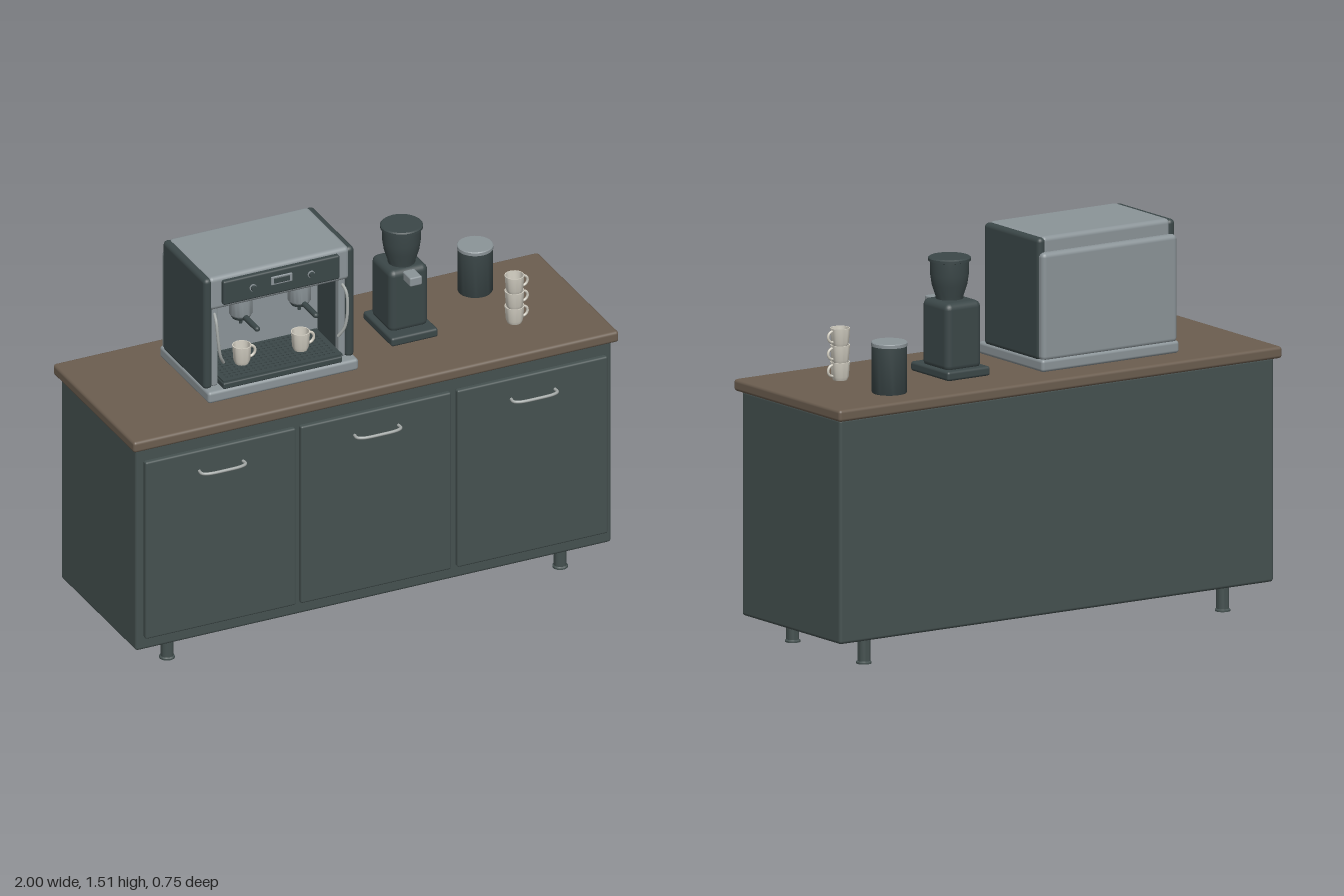
import * as THREE from 'three';
import { RoundedBoxGeometry } from 'three/addons/geometries/RoundedBoxGeometry.js';
import { toCreasedNormals } from 'three/addons/utils/BufferGeometryUtils.js';

const material = (name, color, side = THREE.FrontSide) => {
  const m = new THREE.MeshStandardMaterial({ color, side });
  m.name = name;
  return m;
};

export function createModel() {
  const cabinetPaint = material('cabinet dark green', 0x455150);
  const appliance = material('appliance charcoal', 0x3b4748);
  const wood = material('worktop wood', 0x6b5d4f);
  const steel = material('brushed steel', 0x8b9498);
  const chrome = material('handle chrome', 0xa3a8a6);
  const ceramic = material('cup ceramic', 0xd2cec2, THREE.DoubleSide);

  const model = new THREE.Group();
  model.name = 'coffeeStation';
  const group = (name, parent = model) => {
    const g = new THREE.Group();
    g.name = name;
    parent.add(g);
    return g;
  };
  const add = (parent, name, geometry, mat, x = 0, y = 0, z = 0) => {
    const m = new THREE.Mesh(geometry, mat);
    m.name = name;
    m.position.set(x, y, z);
    parent.add(m);
    return m;
  };
  // Rounded box given by its extents on each axis
  const box = (parent, name, mat, [x0, x1], [y0, y1], [z0, z1], r = 0.008) =>
    add(parent, name, new RoundedBoxGeometry(x1 - x0, y1 - y0, z1 - z0, 3, r), mat,
      (x0 + x1) / 2, (y0 + y1) / 2, (z0 + z1) / 2);
  const lathe = (parent, name, mat, profile, x, y, z, segments = 32) =>
    add(parent, name, toCreasedNormals(new THREE.LatheGeometry(
      profile.map(([r, h]) => new THREE.Vector2(r, h)), segments), 0.6), mat, x, y, z);
  const tube = (parent, name, mat, points, r, x = 0, y = 0, z = 0) =>
    add(parent, name, new THREE.TubeGeometry(new THREE.CatmullRomCurve3(
      points.map(p => new THREE.Vector3(...p))), 32, r, 8), mat, x, y, z);

  // Cabinet
  const cabinet = group('cabinet');
  box(cabinet, 'cabinetBody', cabinetPaint, [-0.98, 0.98], [0.105, 0.958], [-0.345, 0.295], 0.012);
  box(cabinet, 'worktop', wood, [-1, 1], [0.955, 1], [-0.372, 0.32], 0.012);
  for (const x of [-0.645, -0.005, 0.64]) {
    box(cabinet, 'door', cabinetPaint, [x - 0.31, x + 0.31], [0.165, 0.91], [0.303, 0.328], 0.008);
    box(cabinet, 'doorMount', cabinetPaint, [x - 0.28, x + 0.28], [0.2, 0.88], [0.29, 0.31], 0.004);
    tube(cabinet, 'doorHandle', chrome, [[-0.09, 0, 0], [-0.09, 0, 0.025], [-0.07, 0, 0.037],
      [0, 0, 0.041], [0.07, 0, 0.037], [0.09, 0, 0.025], [0.09, 0, 0]], 0.006, x, 0.825, 0.326);
  }
  for (const x of [-0.81, 0.81]) for (const z of [0.208, -0.255])
    lathe(cabinet, 'leg', cabinetPaint, [[0, 0], [0.029, 0], [0.029, 0.006], [0.024, 0.01],
      [0.024, 0.11], [0, 0.11]], x, 0, z, 24);

  // Cup with a side handle; h is its height
  const cup = (parent, x, y, z, h, r) => {
    const c = group('cup', parent);
    c.position.set(x, y, z);
    lathe(c, 'cupBowl', ceramic, [[0, 0], [r * 0.72, 0], [r * 0.88, h * 0.2], [r, h],
      [r * 0.9, h], [r * 0.78, h * 0.22], [0, h * 0.1]], 0, 0, 0, 24);
    const handle = add(c, 'cupHandle', new THREE.TorusGeometry(h * 0.3, h * 0.075, 8, 16, Math.PI),
      ceramic, r * 0.9, h * 0.55, 0);
    handle.rotation.z = -Math.PI / 2;
  };

  // Espresso machine
  const machine = group('espressoMachine');
  const cx = -0.31;
  box(machine, 'machineBase', steel, [-0.62, 0], [1, 1.047], [-0.25, 0.17], 0.012);
  for (const s of [-1, 1]) {
    const x = cx + s * 0.292;
    box(machine, 'sidePanel', appliance, [x - 0.018, x + 0.018], [1.04, 1.504], [-0.225, 0.135], 0.017);
    const p = cx + s * 0.262;
    box(machine, 'frontPillar', steel, [p - 0.014, p + 0.014], [1.045, 1.45], [0.09, 0.125], 0.008);
    box(machine, 'cavityLining', appliance, [p - 0.012, p + 0.012], [1.045, 1.4], [-0.08, 0.1], 0.004);
  }
  box(machine, 'topHousing', steel, [-0.6, -0.02], [1.37, 1.507], [-0.222, 0.136], 0.018);
  box(machine, 'rearHousing', steel, [-0.595, -0.025], [1.04, 1.45], [-0.222, -0.06], 0.01);
  box(machine, 'backPanel', steel, [-0.615, -0.005], [1.04, 1.45], [-0.247, -0.2], 0.018);

  // Control panel with display and knobs
  box(machine, 'controlPanel', appliance, [-0.55, -0.07], [1.392, 1.492], [0.125, 0.154], 0.008);
  box(machine, 'displayFrame', steel, [-0.355, -0.268], [1.433, 1.468], [0.15, 0.158], 0.003);
  box(machine, 'display', appliance, [-0.345, -0.278], [1.439, 1.462], [0.152, 0.16], 0.003);
  for (const x of [-0.43, -0.19]) {
    const bezel = add(machine, 'knobBezel', new THREE.CylinderGeometry(0.014, 0.014, 0.008, 24),
      steel, x, 1.442, 0.155);
    const knob = add(machine, 'knob', new THREE.CylinderGeometry(0.011, 0.011, 0.02, 24),
      appliance, x, 1.442, 0.161);
    bezel.rotation.x = knob.rotation.x = Math.PI / 2;
  }

  // Drip tray with a perforated grate
  box(machine, 'dripTray', appliance, [-0.555, -0.065], [1.045, 1.07], [-0.07, 0.165], 0.006);
  box(machine, 'trayFloor', steel, [-0.54, -0.08], [1.066, 1.073], [-0.06, 0.15], 0.002);
  const grate = new THREE.Shape([[-0.245, -0.115], [0.245, -0.115], [0.245, 0.115], [-0.245, 0.115]]
    .map(p => new THREE.Vector2(...p)));
  for (let i = 0; i < 23; i++) for (let j = 0; j < 10; j++) {
    const hole = new THREE.Path();
    hole.absarc((i - 11) * 0.02, (j - 4.5) * 0.02, 0.0055, 0, Math.PI * 2, true);
    grate.holes.push(hole);
  }
  const grateMesh = add(machine, 'dripGrate', new THREE.ExtrudeGeometry(grate,
    { depth: 0.006, bevelEnabled: false, curveSegments: 4 }), appliance, cx, 1.074, 0.048);
  grateMesh.rotation.x = -Math.PI / 2;

  // Brew groups, spouts and cups
  for (const x of [-0.43, -0.188]) {
    lathe(machine, 'brewHead', steel, [[0, 0], [0.04, 0], [0.044, 0.006], [0.044, 0.075],
      [0.05, 0.08], [0.05, 0.1], [0, 0.1]], x, 1.282, 0.05);
    lathe(machine, 'filterBasket', appliance, [[0, 0], [0.032, 0], [0.038, 0.01], [0.038, 0.035],
      [0, 0.035]], x, 1.268, 0.05);
    const grip = add(machine, 'filterHandle', new THREE.CapsuleGeometry(0.011, 0.1, 4, 16),
      appliance, x, 1.285, 0.14);
    grip.rotation.x = Math.PI / 2;
    add(machine, 'spout', new THREE.CylinderGeometry(0.009, 0.006, 0.03, 16), appliance, x, 1.257, 0.05);
    cup(machine, x, 1.08, 0.06, 0.075, 0.036);
  }

  // Steam wands
  for (const s of [-1, 1])
    tube(machine, 'steamWand', chrome, [[s * 0.262, 1.355, 0.115], [s * 0.268, 1.33, 0.147],
      [s * 0.266, 1.25, 0.162], [s * 0.255, 1.185, 0.158], [s * 0.236, 1.148, 0.144]], 0.006, cx);

  // Coffee grinder
  const grinder = group('grinder');
  box(grinder, 'grinderBase', appliance, [0.185, 0.378], [1, 1.036], [-0.18, 0.066], 0.01);
  box(grinder, 'grinderBody', appliance, [0.204, 0.364], [1.025, 1.285], [-0.155, 0.016], 0.025);
  box(grinder, 'grinderSpout', steel, [0.258, 0.308], [1.24, 1.277], [0, 0.073], 0.006);
  lathe(grinder, 'beanHopper', appliance, [[0, 0], [0.05, 0], [0.053, 0.02], [0.066, 0.06],
    [0.072, 0.1], [0.073, 0.15], [0.08, 0.152], [0.08, 0.162], [0.075, 0.166], [0, 0.166]],
  0.283, 1.277, -0.053);

  // Canister
  const canister = group('canister');
  lathe(canister, 'canisterBody', appliance, [[0, 0], [0.064, 0], [0.066, 0.004], [0.066, 0.18],
    [0, 0.18]], 0.66, 1, -0.205);
  lathe(canister, 'canisterLid', steel, [[0, 0], [0.068, 0], [0.068, 0.012], [0.065, 0.015],
    [0, 0.015]], 0.66, 1.178, -0.205);

  // Stacked cups
  const stack = group('cupStack');
  for (let i = 0; i < 3; i++) cup(stack, 0.683, 1 + i * 0.064, 0.082, 0.069, 0.037);

  return model;
}
